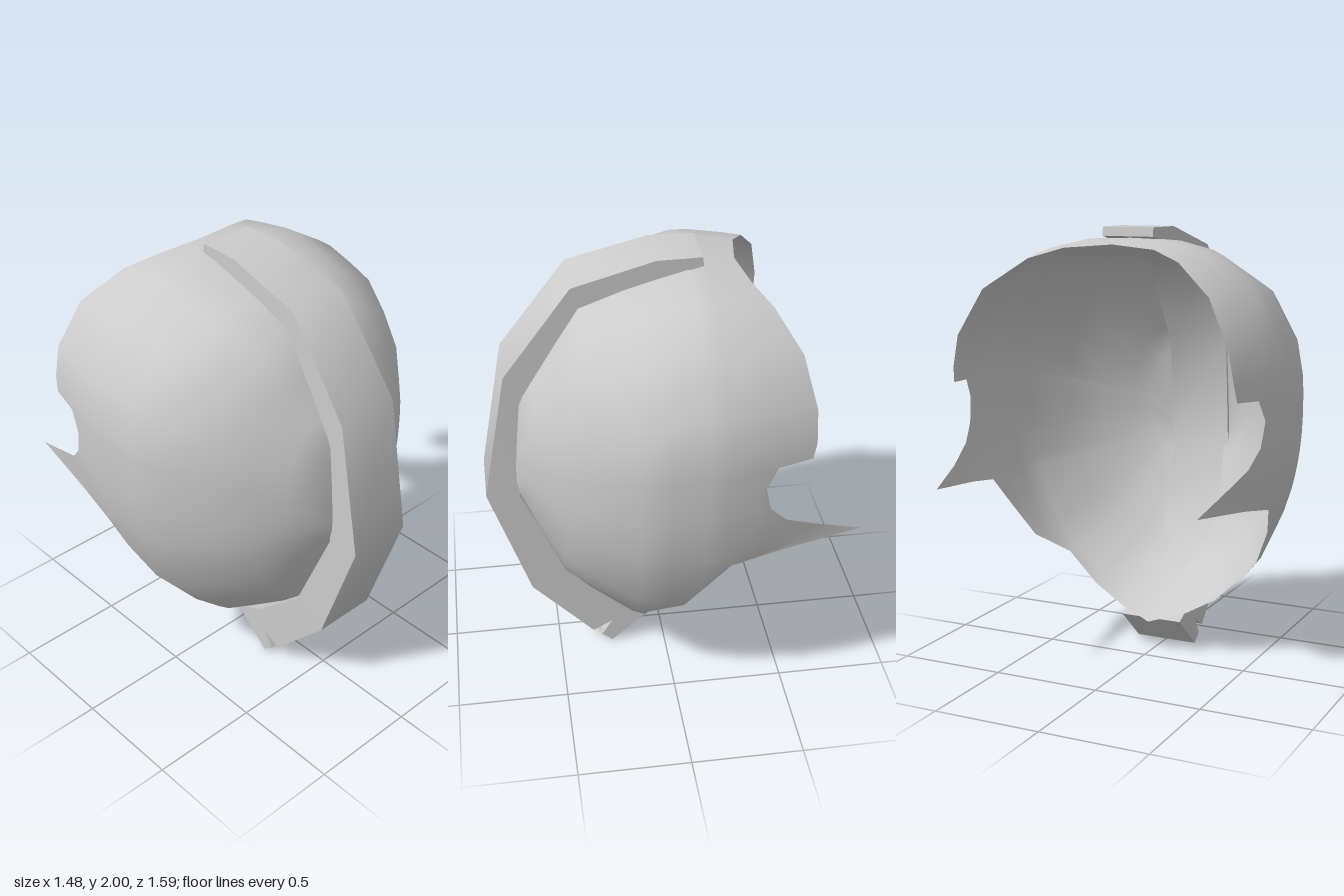
import * as THREE from 'three';
import { mergeVertices, toCreasedNormals } from 'three/addons/utils/BufferGeometryUtils.js';

// Shell sections from front to back: z, half width, top, widest height, bottom
const SECTIONS = [
  [0.675, 0, 0.95, 0.95, 0.95],
  [0.66, 0.15, 1.12, 1.0, 0.87],
  [0.63, 0.25, 1.41, 1.1, 0.81],
  [0.57, 0.34, 1.5, 1.12, 0.67],
  [0.47, 0.47, 1.65, 1.14, 0.45],
  [0.36, 0.57, 1.82, 1.16, 0.35],
  [0.17, 0.7, 1.885, 1.2, 0.21],
  [0.04, 0.722, 1.92, 1.22, 0.15],
  [-0.1, 0.735, 1.955, 1.24, 0.13],
  [-0.18, 0.74, 1.95, 1.25, 0.12],
  [-0.33, 0.715, 1.93, 1.25, 0.12],
  [-0.56, 0.662, 1.89, 1.25, 0.12],
  [-0.8, 0.63, 1.8, 1.25, 0.12],
];

// Rim of the left half as [y, z], from the crown past the side spike to the chin
const RIM = [
  [1.94, -0.32], [1.915, -0.355], [1.87, -0.42], [1.74, -0.51], [1.54, -0.555],
  [1.4, -0.555], [1.33, -0.54], [1.32, -0.39], [1.23, -0.34], [1.12, -0.365],
  [1.04, -0.44], [0.97, -0.6], [0.905, -0.79], [0.86, -0.42], [0.825, -0.21],
  [0.7, -0.12], [0.53, -0.03], [0.42, 0.12], [0.28, 0.11], [0.2, 0.09], [0.14, 0.04],
];

// Section values at any depth
function sectionAt(z) {
  let i = 0;
  while (i < SECTIONS.length - 2 && z < SECTIONS[i + 1][0]) i++;
  const a = SECTIONS[i], b = SECTIONS[i + 1];
  const t = (a[0] - z) / (a[0] - b[0]);
  return a.map((v, k) => v + (b[k] - v) * t);
}

// Squarer outline above the widest height, rounder below
const power = (upper) => (upper ? 2.65 : 2.05);

function rimAngle([y, z]) {
  const [, , top, mid, bottom] = sectionAt(z);
  const upper = y >= mid;
  const v = Math.min(1, upper ? (y - mid) / (top - mid) : (mid - y) / (mid - bottom));
  return Math.asin(v ** (power(upper) / 2)) * (upper ? 1 : -1);
}

function shellPoint(angle, z, side) {
  const [, width, top, mid, bottom] = sectionAt(z);
  const upper = angle >= 0;
  const e = 2 / power(upper);
  const x = width * Math.max(0, Math.cos(angle)) ** e;
  const v = Math.abs(Math.sin(angle)) ** e;
  return [side * x, upper ? mid + v * (top - mid) : mid - v * (mid - bottom), z];
}

function shellGeometry() {
  const last = RIM.length - 1;
  const left = RIM.map((p, i) => ({
    angle: i === 0 ? Math.PI / 2 : i === last ? -Math.PI / 2 : rimAngle(p), z: p[1], side: 1,
  }));
  const right = left.slice(1, last).reverse().map((c) => ({ ...c, side: -1 }));
  const columns = [...left, ...right];
  const rows = SECTIONS.length;
  const positions = [], index = [];
  columns.forEach((c, j) => {
    // Each column runs back from the nose and stops at the rim
    SECTIONS.forEach(([z]) => positions.push(...shellPoint(c.angle, Math.max(z, c.z), c.side)));
    const next = (j + 1) % columns.length;
    for (let k = 0; k < rows - 1; k++) {
      const a = j * rows + k, b = next * rows + k;
      index.push(a, b, a + 1, b, b + 1, a + 1);
    }
  });
  const geometry = new THREE.BufferGeometry();
  geometry.setAttribute('position', new THREE.Float32BufferAttribute(positions, 3));
  geometry.setIndex(index);
  const merged = mergeVertices(geometry, 1e-4);
  merged.computeVertexNormals();
  return merged;
}

function ridgeGeometry() {
  // Side outline as [z, y]: outer edge down to the chin clip, then back up along the shell
  const outline = [
    [-0.17, 1.96], [-0.165, 2], [0.03, 2], [0.39, 1.905], [0.69, 1.51], [0.8, 0.91],
    [0.62, 0.37], [0.34, 0.07], [0.25, 0.12], [0.3, 0.04], [0.25, 0], [0.07, 0.16],
    [0.21, 0.23], [0.46, 0.45], [0.65, 0.9], [0.615, 1.41], [0.35, 1.8], [0.25, 1.85],
    [0, 1.92], [-0.1, 1.945],
  ];
  const shape = new THREE.Shape(outline.map(([z, y]) => new THREE.Vector2(z, y)));
  const geometry = new THREE.ExtrudeGeometry(shape, { depth: 0.3, bevelEnabled: false });
  geometry.rotateY(-Math.PI / 2).translate(0.15, 0, 0);
  // Narrow the band toward the crown
  const p = geometry.attributes.position;
  for (let i = 0; i < p.count; i++) {
    if (p.getY(i) < 1) continue;
    const t = THREE.MathUtils.clamp((p.getZ(i) + 0.17) / 0.85, 0, 1);
    p.setX(i, p.getX(i) * (0.81 + 0.19 * t));
  }
  return toCreasedNormals(geometry, 0.7);
}

export function createModel() {
  const group = new THREE.Group();
  group.name = 'mask';
  const material = new THREE.MeshStandardMaterial({ color: 0xcccccc, side: THREE.DoubleSide });
  const shell = new THREE.Mesh(shellGeometry(), material);
  shell.name = 'faceShell';
  const ridge = new THREE.Mesh(ridgeGeometry(), material);
  ridge.name = 'centreRidge';
  group.add(shell, ridge);
  return group;
}
